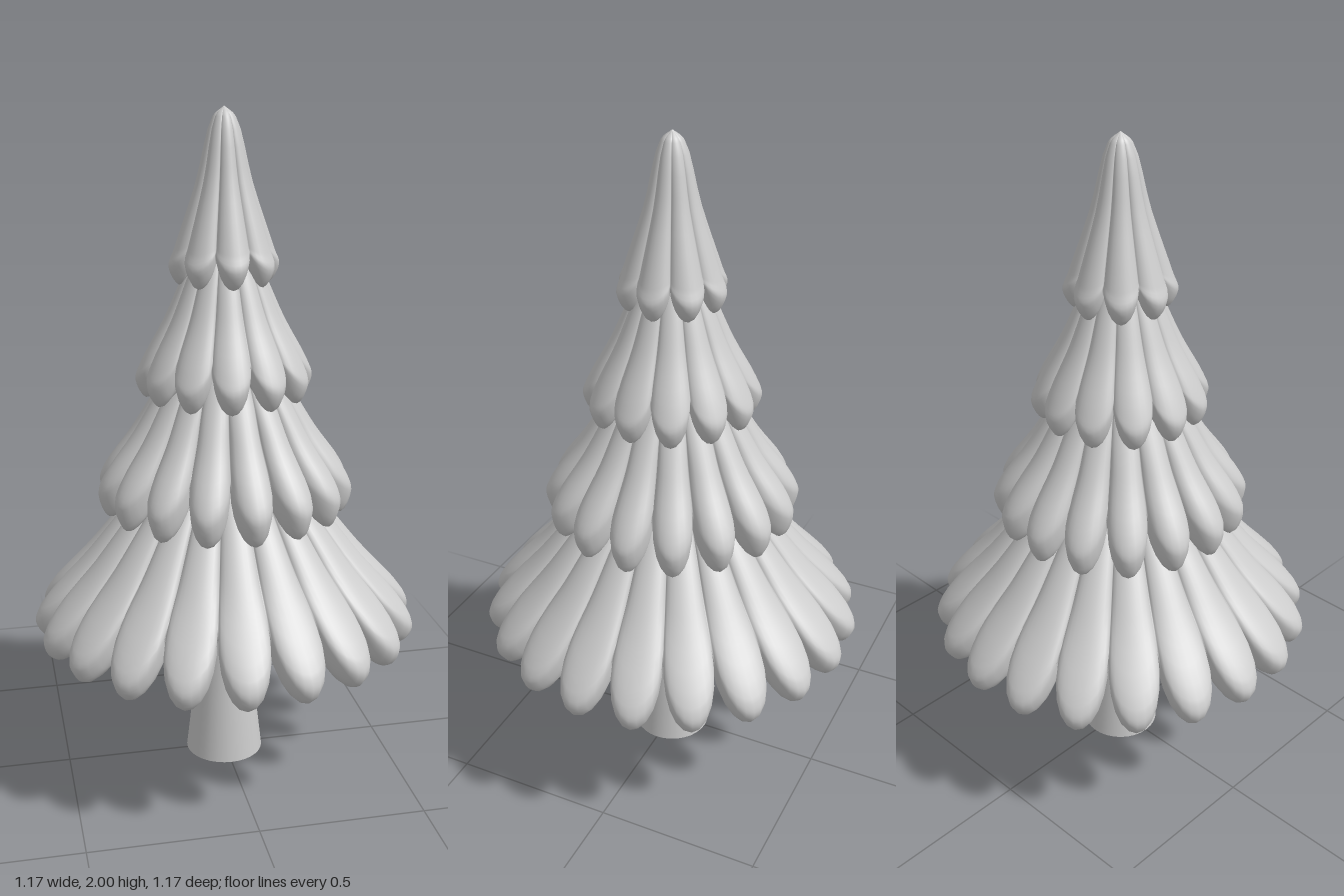
import * as THREE from 'three';

// Points are [radius, y]: start and neck of the slope, tip of a lobe, notch between lobes,
// and the hidden inner end of the underside. drop is how far the rim curls below the tip.
const TIERS = [
  { name: 'bottomBranches', lobes: 20, phase: 5, sharp: 1, drop: 0.045, undercut: 0.095,
    start: [0.1, 1.08], neck: [0.3, 0.835], tip: [0.585, 0.465], notch: [0.445, 0.61], end: [0.05, 0.88] },
  { name: 'lowerMiddleBranches', lobes: 16, phase: -3, sharp: 1.15, drop: 0.07, undercut: 0.075,
    start: [0.08, 1.4], neck: [0.21, 1.18], tip: [0.385, 0.89], notch: [0.28, 0.985], end: [0.1, 1] },
  { name: 'upperMiddleBranches', lobes: 12, phase: 6, sharp: 1.3, drop: 0.055, undercut: 0.062,
    start: [0.05, 1.68], neck: [0.12, 1.53], tip: [0.262, 1.225], notch: [0.207, 1.3], end: [0.06, 1.28] },
  { name: 'topBranches', lobes: 8, phase: 0, sharp: 1.5, drop: 0.05, undercut: 0.047,
    start: [0.001, 2], neck: [0.033, 1.972], tip: [0.162, 1.555], notch: [0.124, 1.605], end: [0.03, 1.58] },
];

const STEPS = 4; // samples per profile segment
const SIDES = 12; // columns per lobe

// Slope, rounded rim and underside; rim scales the curl, groove narrows the neck
function smoothProfile({ start, neck, end, drop, undercut }, edge, rim, groove) {
  const point = ([r, y]) => new THREE.Vector3(r, y, 0);
  const offset = (dr, dy) => point([edge[0] + dr * rim, edge[1] + dy * rim]);
  const top = point([neck[0] * groove, neck[1]]);
  const shoulder = offset(-0.016, 0.05);
  const middle = top.clone().lerp(shoulder, 0.5);
  middle.x -= 0.006;
  const inner = offset(-undercut, -0.65 * drop);
  const curve = new THREE.CatmullRomCurve3([
    point(start), top, middle, shoulder, point(edge), offset(-0.03, -drop),
    inner, inner.clone().lerp(point(end), 0.5), point(end),
  ]);
  return curve.getPoints(8 * STEPS);
}

// Sweeps around the trunk, blending between the crest and groove profiles
function lobedShell(tier) {
  const crest = smoothProfile(tier, tier.tip, 1, 1);
  const groove = smoothProfile(tier, tier.notch, 0.35, 0.91);
  const columns = tier.lobes * SIDES;
  const phase = THREE.MathUtils.degToRad(tier.phase);
  const positions = [];
  const index = [];
  for (let i = 0; i < crest.length; i++) {
    for (let j = 0; j < columns; j++) {
      // Columns crowd towards the grooves, so each lobe ends in a rounded finger
      const a = ((j % SIDES) / SIDES - 0.5) * Math.PI;
      const blend = Math.pow(Math.max(0, Math.cos(a)), tier.sharp);
      const angle = phase + ((Math.floor(j / SIDES) + Math.sin(a) / 2) / tier.lobes) * Math.PI * 2;
      const p = groove[i].clone().lerp(crest[i], blend);
      positions.push(p.x * Math.cos(angle), p.y, p.x * Math.sin(angle));
      if (i === crest.length - 1) continue;
      const k = i * columns + j;
      const n = i * columns + ((j + 1) % columns);
      index.push(k, n, k + columns, n, n + columns, k + columns);
    }
  }
  const geometry = new THREE.BufferGeometry();
  geometry.setAttribute('position', new THREE.Float32BufferAttribute(positions, 3));
  geometry.setIndex(index);
  geometry.computeVertexNormals();
  return geometry;
}

export function createModel() {
  const tree = new THREE.Group();
  tree.name = 'tree';
  const material = new THREE.MeshStandardMaterial({ color: 0xcccccc, side: THREE.DoubleSide });
  const add = (name, geometry) => {
    const mesh = new THREE.Mesh(geometry, material);
    mesh.name = name;
    tree.add(mesh);
    return mesh;
  };

  // Flared trunk reaching up inside the lowest tier
  const flare = [[0.12, 0], [0.097, 0.2], [0.083, 0.32], [0.075, 0.42], [0.066, 0.6], [0.06, 0.95]];
  add('trunk', new THREE.LatheGeometry(flare.map(([r, y]) => new THREE.Vector2(r, y)), 32));
  const base = add('trunkBase', new THREE.CircleGeometry(0.12, 32));
  base.rotation.x = Math.PI / 2;

  // Four overlapping tiers of drooping branches
  for (const tier of TIERS) add(tier.name, lobedShell(tier));
  return tree;
}
